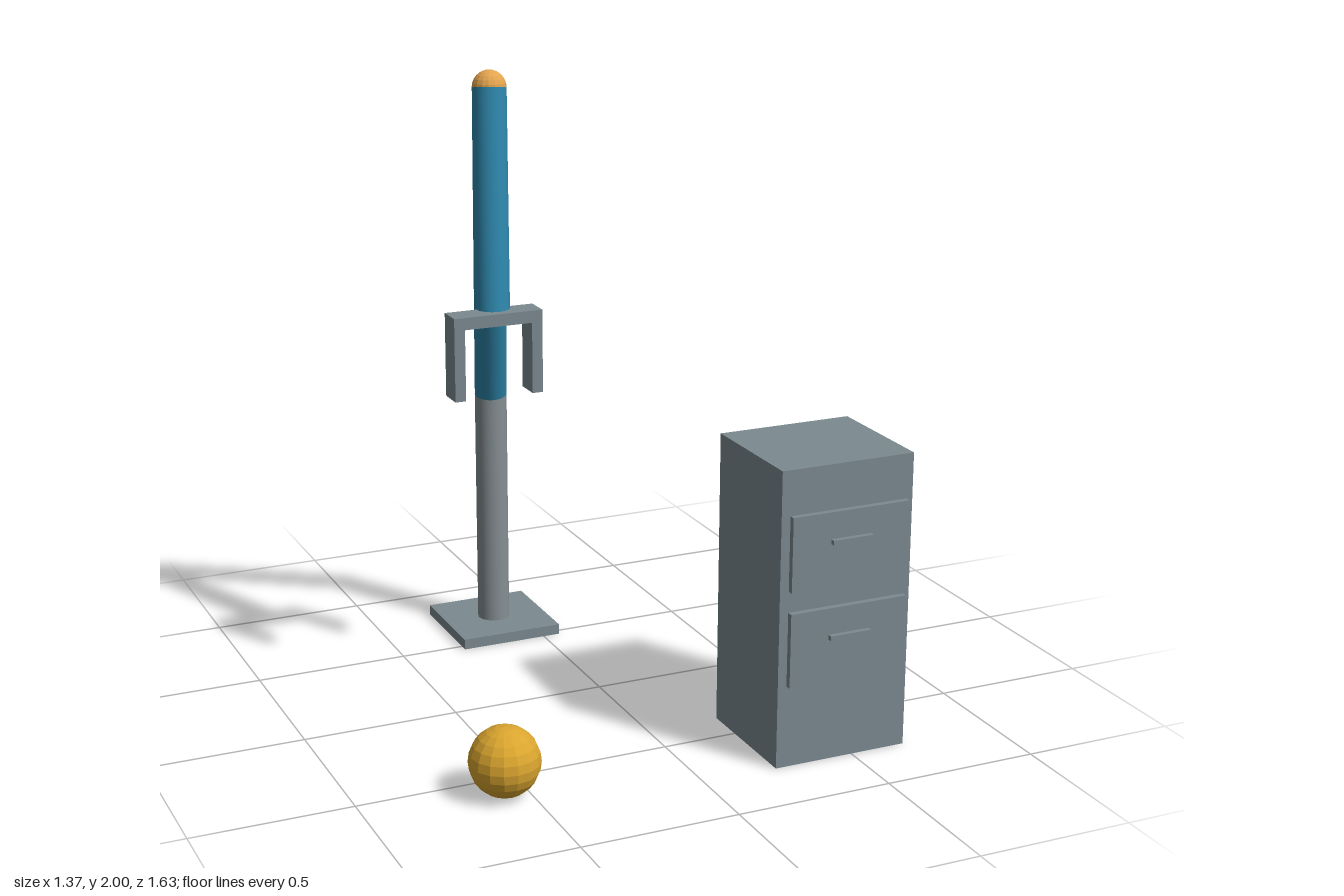
import * as THREE from 'three';

const material = (name, color, flatShading = false) => {
  const m = new THREE.MeshStandardMaterial({ color });
  m.name = name;
  m.flatShading = flatShading;
  return m;
};

export function createModel() {
  const grey = material('slate grey', 0x7b8a90);
  const steel = material('steel grey', 0x868f93);
  const blue = material('arm blue', 0x2e86ab);
  const orange = material('joint orange', 0xe3a44e, true);
  const gold = material('ball gold', 0xdaa52f, true);

  const model = new THREE.Group();
  model.name = 'robotArmScene';

  const add = (parent, name, geometry, mat, x, y, z) => {
    const mesh = new THREE.Mesh(geometry, mat);
    mesh.name = name;
    mesh.position.set(x, y, z);
    parent.add(mesh);
    return mesh;
  };
  // Box given by its low and high corners
  const box = (parent, name, mat, [x0, y0, z0], [x1, y1, z1]) =>
    add(parent, name, new THREE.BoxGeometry(x1 - x0, y1 - y0, z1 - z0), mat,
      (x0 + x1) / 2, (y0 + y1) / 2, (z0 + z1) / 2);
  // Cylinder between two points
  const rod = (parent, name, mat, a, b, r) => {
    const dir = b.clone().sub(a);
    const mid = a.clone().add(b).multiplyScalar(0.5);
    const mesh = add(parent, name, new THREE.CylinderGeometry(r, r, dir.length(), 24), mat, mid.x, mid.y, mid.z);
    mesh.quaternion.setFromUnitVectors(new THREE.Vector3(0, 1, 0), dir.normalize());
  };
  const group = (name) => {
    const g = new THREE.Group();
    g.name = name;
    model.add(g);
    return g;
  };

  // Robot arm: base, column, two links and ball joints
  const arm = group('robotArm');
  const R = 0.054;
  const foot = new THREE.Vector3(-0.117, 0.03, -0.644);
  const shoulder = new THREE.Vector3(-0.117, 0.84, -0.644);
  const elbow = new THREE.Vector3(-0.256, 1.946, -0.262);
  const wrist = new THREE.Vector3(-0.298, 1.233, -0.148);
  box(arm, 'basePlate', grey, [-0.29, 0, -0.817], [0.056, 0.035, -0.471]);
  rod(arm, 'column', steel, foot, shoulder, R);
  rod(arm, 'upperArm', blue, shoulder, elbow, R);
  rod(arm, 'forearm', blue, elbow, wrist, R);
  for (const [name, p] of [['shoulderJoint', shoulder], ['elbowJoint', elbow]]) {
    add(arm, name, new THREE.SphereGeometry(R, 16, 12), orange, p.x, p.y, p.z);
  }

  // Gripper: crossbar and two fingers
  const gripper = group('gripper');
  box(gripper, 'crossbar', grey, [-0.455, 1.233, -0.155], [-0.162, 1.272, -0.072]);
  for (const [name, x] of [['rightFinger', -0.455], ['leftFinger', -0.197]]) {
    box(gripper, name, grey, [x, 1.005, -0.155], [x + 0.035, 1.233, -0.072]);
  }

  // Cabinet with two drawer fronts and handles
  const cabinet = group('cabinet');
  box(cabinet, 'cabinetBody', grey, [0.24, 0, 0.373], [0.682, 0.945, 0.774]);
  for (const [name, y] of [['upper', 0.688], ['lower', 0.385]]) {
    box(cabinet, name + 'Drawer', grey, [0.265, y - 0.118, 0.782], [0.657, y + 0.118, 0.801]);
    box(cabinet, name + 'Handle', grey, [0.393, y + 0.019, 0.801], [0.529, y + 0.034, 0.817]);
  }

  // Ball on the floor
  add(model, 'ball', new THREE.SphereGeometry(0.109, 16, 12), gold, -0.574, 0.111, 0.611);

  return model;
}
